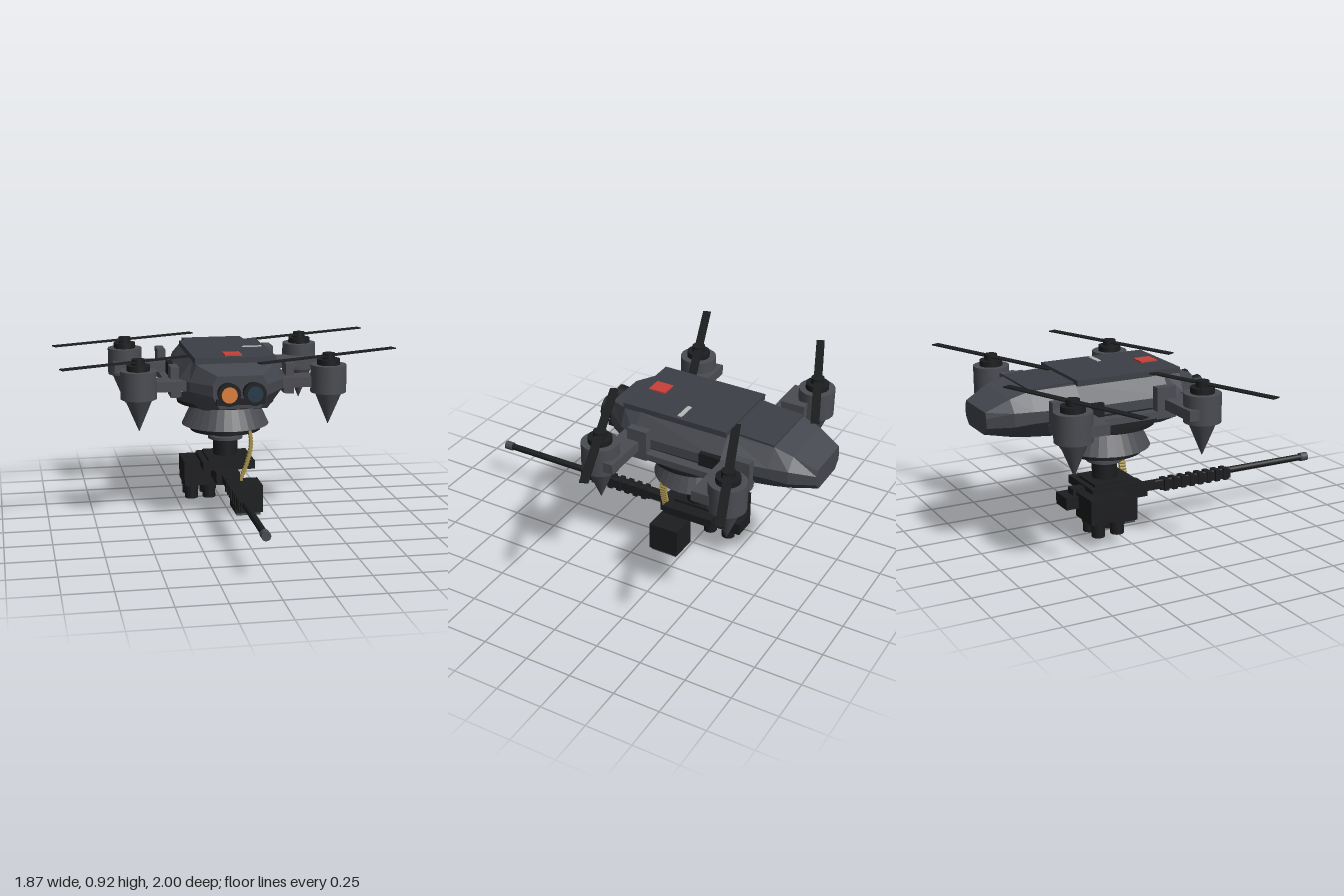
import * as THREE from 'three';

const mat = (color, opts = {}) => new THREE.MeshStandardMaterial({ color, ...opts });
const hullMat = mat(0x44474e, { flatShading: true });
const panelMat = mat(0x3c3f46);
const greyMat = mat(0x4b4c52);
const blackMat = mat(0x1c1d1f);
const underMat = mat(0x2a2b2e, { side: THREE.DoubleSide });
const coneMat = mat(0x4b4c52, { side: THREE.DoubleSide, flatShading: true });
const brassMat = mat(0xa8924c);

function add(parent, name, geometry, material, x = 0, y = 0, z = 0) {
  const mesh = new THREE.Mesh(geometry, material);
  mesh.name = name;
  mesh.position.set(x, y, z);
  parent.add(mesh);
  return mesh;
}

// Box given by its minimum and maximum on each axis
function box(parent, name, material, [x0, x1], [y0, y1], [z0, z1]) {
  return add(parent, name, new THREE.BoxGeometry(x1 - x0, y1 - y0, z1 - z0), material,
    (x0 + x1) / 2, (y0 + y1) / 2, (z0 + z1) / 2);
}

// Upright cylinder or cone between two heights
function post(parent, name, material, rTop, rBottom, y0, y1, x, z, sides = 24, open = false) {
  return add(parent, name, new THREE.CylinderGeometry(rTop, rBottom, y1 - y0, sides, 1, open), material,
    x, (y0 + y1) / 2, z);
}

// Cylinder lying along z
function rod(parent, name, material, rFront, rBack, z0, z1, x, y, sides = 20) {
  const g = new THREE.CylinderGeometry(rFront, rBack, z1 - z0, sides).rotateX(Math.PI / 2);
  return add(parent, name, g, material, x, y, (z0 + z1) / 2);
}

// Faceted hull lofted through eight-sided sections
function hullGeometry() {
  // z, top half width, widest half width, bottom half width, top, upper side, lower side, bottom
  const sections = [
    [-1.0, 0.13, 0.14, 0.1, 0.79, 0.76, 0.71, 0.67],
    [-0.88, 0.16, 0.215, 0.13, 0.85, 0.79, 0.72, 0.65],
    [-0.78, 0.17, 0.235, 0.15, 0.88, 0.79, 0.73, 0.64],
    [-0.54, 0.2, 0.28, 0.18, 0.89, 0.79, 0.74, 0.625],
    [-0.05, 0.22, 0.29, 0.19, 0.89, 0.79, 0.74, 0.625],
    [0.05, 0.21, 0.25, 0.17, 0.88, 0.79, 0.74, 0.635],
    [0.175, 0.12, 0.145, 0.11, 0.84, 0.79, 0.73, 0.665],
  ];
  const rings = sections.map(([z, t, w, b, yt, yh, yl, yb]) => {
    const half = [[b, yb], [w, yl], [w, yh], [t, yt]];
    const mirror = half.map(([x, y]) => [-x, y]).reverse();
    return [...half, ...mirror].map(([x, y]) => [x, y, z]);
  });
  const pos = [];
  const tri = (a, b, c) => pos.push(...a, ...b, ...c);
  for (let i = 0; i < rings.length - 1; i++) {
    for (let j = 0; j < 8; j++) {
      const k = (j + 1) % 8;
      tri(rings[i][j], rings[i][k], rings[i + 1][k]);
      tri(rings[i][j], rings[i + 1][k], rings[i + 1][j]);
    }
  }
  const back = rings[0], front = rings[rings.length - 1];
  for (let j = 1; j < 7; j++) {
    tri(back[0], back[j + 1], back[j]);
    tri(front[0], front[j], front[j + 1]);
  }
  const g = new THREE.BufferGeometry();
  g.setAttribute('position', new THREE.Float32BufferAttribute(pos, 3));
  g.computeVertexNormals();
  return g;
}

function makeRotor(x, z) {
  const rotor = new THREE.Group();
  rotor.name = 'rotor';
  rotor.position.set(x, 0, z);
  post(rotor, 'motorPod', greyMat, 0.097, 0.097, 0.705, 0.855, 0, 0);
  post(rotor, 'podSpike', greyMat, 0.075, 0.002, 0.53, 0.705, 0, 0);
  post(rotor, 'motorCollar', blackMat, 0.062, 0.062, 0.855, 0.885, 0, 0);
  post(rotor, 'rotorHub', blackMat, 0.035, 0.035, 0.885, 0.917, 0, 0, 16);
  const blade = add(rotor, 'rotorBlade', new THREE.BoxGeometry(0.89, 0.006, 0.045), blackMat, 0, 0.903, 0);
  blade.rotation.y = 0.385;
  return rotor;
}

function makeGun() {
  const gun = new THREE.Group();
  gun.name = 'gun';
  const x = -0.028;
  box(gun, 'receiver', blackMat, [-0.085, 0.045], [0.185, 0.25], [-0.55, -0.07]);
  box(gun, 'receiverNeck', blackMat, [-0.055, 0], [0.2, 0.24], [-0.07, 0.04]);
  box(gun, 'handguard', blackMat, [-0.053, -0.003], [0.19, 0.24], [0.03, 0.475]);
  for (let i = 0; i < 8; i++) {
    const z = 0.05 + i * 0.054;
    box(gun, 'handguardRib', blackMat, [-0.06, 0.004], [0.184, 0.248], [z, z + 0.028]);
  }
  rod(gun, 'barrel', blackMat, 0.018, 0.018, 0.0, 0.96, x, 0.228);
  rod(gun, 'muzzle', greyMat, 0.024, 0.024, 0.955, 1.0, x, 0.228);
  box(gun, 'rearSight', blackMat, [-0.06, 0.0], [0.25, 0.285], [-0.5, -0.42]);
  // Launcher block with four tubes
  box(gun, 'launcherBlock', blackMat, [-0.235, -0.05], [0.135, 0.27], [-0.48, -0.26]);
  for (const tx of [-0.19, -0.09]) for (const tz of [-0.31, -0.42]) {
    post(gun, 'launcherTube', blackMat, 0.036, 0.036, 0.055, 0.14, tx, tz, 18);
    post(gun, 'tubeCollar', blackMat, 0.041, 0.041, 0.105, 0.125, tx, tz, 18);
  }
  return gun;
}

export function createModel() {
  const model = new THREE.Group();
  model.name = 'drone';

  // Hull and deck
  add(model, 'hull', hullGeometry(), hullMat);
  box(model, 'topPlate', panelMat, [-0.22, 0.22], [0.885, 0.915], [-0.54, 0.05]);
  const rear = box(model, 'rearDeck', panelMat, [-0.172, 0.172], [0.87, 0.895], [-0.78, -0.53]);
  rear.rotation.x = -0.04;
  box(model, 'redMarker', mat(0xc8403a), [-0.05, 0.04], [0.91, 0.923], [-0.09, 0.005]);
  box(model, 'lightStrip', mat(0xb8b8b8), [0.09, 0.2], [0.91, 0.919], [-0.277, -0.253]);

  // Arms, brackets and side rails on both sides
  for (const s of [-1, 1]) {
    const span = (a, b) => (s > 0 ? [a, b] : [-b, -a]);
    for (const [z0, z1] of [[-0.105, 0.02], [-0.68, -0.545]]) {
      box(model, 'arm', greyMat, span(0.22, 0.59), [0.735, 0.79], [z0, z1]);
    }
    for (const [z0, z1] of [[-0.15, -0.04], [-0.73, -0.6]]) {
      box(model, 'armBracket', greyMat, span(0.292, 0.337), [0.69, 0.855], [z0, z1]);
    }
    box(model, 'sideRail', greyMat, span(0.28, 0.335), [0.695, 0.73], [-0.73, -0.04]);
    box(model, 'sideVent', blackMat, span(0.2, 0.3), [0.735, 0.805], [-0.54, -0.43]);
    for (const z of [0.01, -0.705]) model.add(makeRotor(s * 0.515, z));
  }

  // Twin cameras
  for (const [x, color] of [[-0.07, 0xe0803c], [0.065, 0x24394a]]) {
    rod(model, 'cameraBody', blackMat, 0.052, 0.045, 0.12, 0.2, x, 0.755);
    rod(model, 'cameraHood', blackMat, 0.062, 0.055, 0.19, 0.25, x, 0.755);
    rod(model, 'cameraLens', mat(color), 0.042, 0.042, 0.24, 0.258, x, 0.755);
  }
  box(model, 'cameraMount', blackMat, [-0.13, 0.13], [0.69, 0.72], [0.1, 0.2]);

  // Belly turntable and turret column
  const cz = -0.285;
  post(model, 'bellyPlate', blackMat, 0.27, 0.27, 0.617, 0.637, 0, cz, 32);
  post(model, 'bellySkirt', coneMat, 0.18, 0.243, 0.488, 0.62, 0, cz, 32, true);
  post(model, 'skirtFloor', underMat, 0.235, 0.235, 0.49, 0.5, 0, cz, 32);
  post(model, 'turretDisc', blackMat, 0.197, 0.197, 0.455, 0.48, 0, cz, 32);
  post(model, 'discHub', blackMat, 0.12, 0.12, 0.475, 0.495, 0, cz, 32);
  post(model, 'turretColumn', blackMat, 0.068, 0.068, 0.3, 0.46, 0, cz);
  post(model, 'columnRing', greyMat, 0.098, 0.098, 0.402, 0.42, 0, cz);
  box(model, 'turretPlate', blackMat, [-0.147, 0.143], [0.25, 0.295], [-0.43, -0.14]);
  box(model, 'turretCap', blackMat, [-0.115, 0.075], [0.29, 0.31], [-0.4, -0.17]);
  model.add(makeGun());

  // Ammunition box and belt
  box(model, 'ammoBox', blackMat, [0.02, 0.175], [0.015, 0.17], [-0.245, -0.075]);
  box(model, 'ammoBoxFoot', greyMat, [0.03, 0.165], [0, 0.016], [-0.235, -0.085]);
  const path = new THREE.CatmullRomCurve3([[0.11, 0.465], [0.117, 0.4], [0.1, 0.31], [0.06, 0.2]]
    .map(([x, y]) => new THREE.Vector3(x, y, -0.127)));
  const belt = new THREE.Group();
  belt.name = 'ammoBelt';
  for (let i = 0; i <= 16; i++) {
    const p = path.getPointAt(i / 16);
    rod(belt, 'cartridge', brassMat, 0.01, 0.01, -0.145, -0.109, p.x, p.y, 8);
  }
  model.add(belt);
  return model;
}
